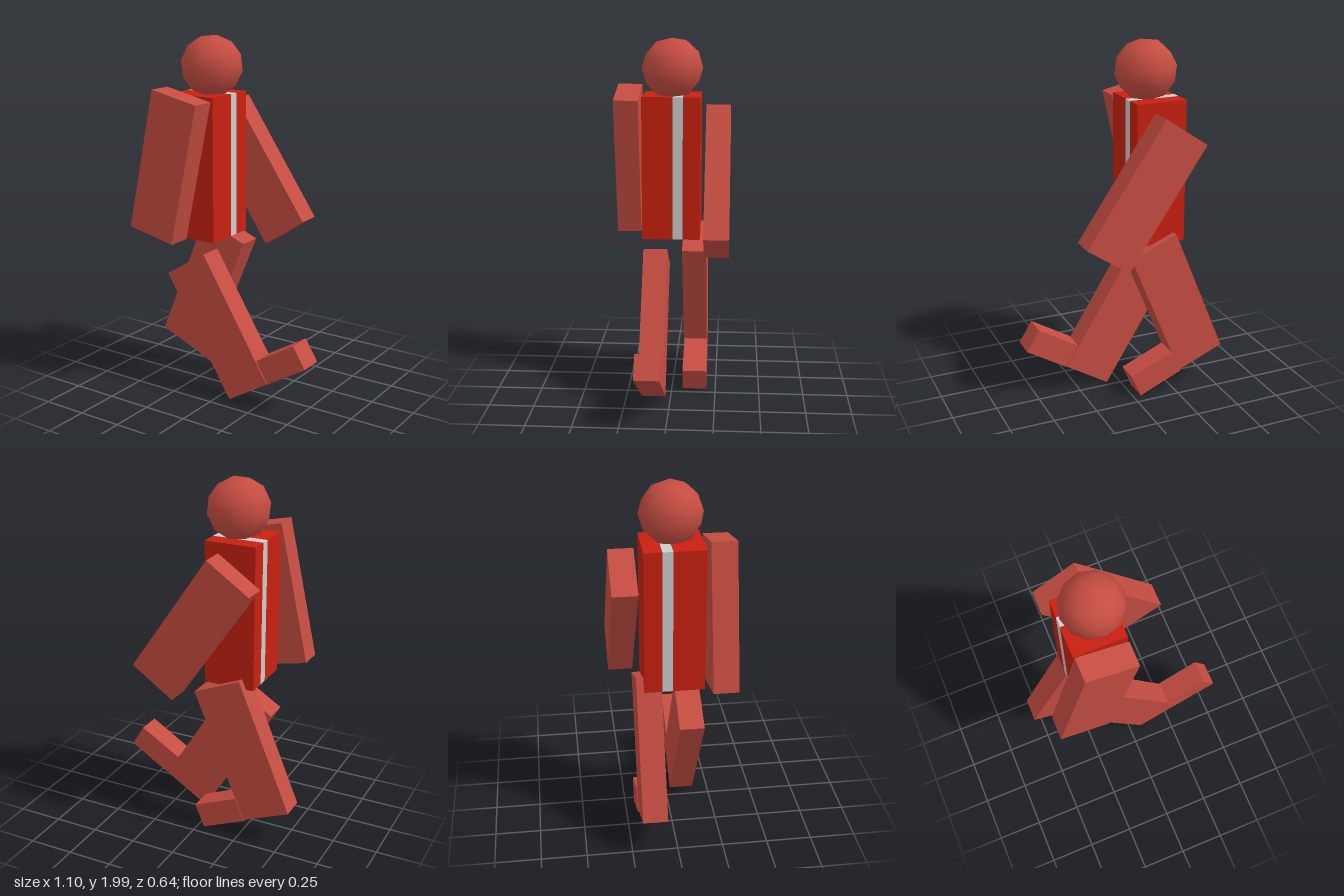
import * as THREE from 'three';

const skin = new THREE.MeshStandardMaterial({ color: 0xc64d42 });
const shirt = new THREE.MeshStandardMaterial({ color: 0xc82010 });
const grey = new THREE.MeshStandardMaterial({ color: 0xcccccc });

export function createModel() {
  const model = new THREE.Group();

  function addBox(name, size, position, tilt, material) {
    const mesh = new THREE.Mesh(new THREE.BoxGeometry(...size), material);
    mesh.name = name;
    mesh.position.set(...position);
    mesh.rotation.z = tilt;
    model.add(mesh);
  }

  // Torso: two red slabs with a grey stripe running between them
  const torsoSlices = [
    ['torsoNear', -0.005, 0.165, shirt],
    ['torsoStripe', -0.06, -0.005, grey],
    ['torsoFar', -0.155, -0.06, shirt],
  ];
  for (const [name, z0, z1, material] of torsoSlices) {
    addBox(name, [0.285, 0.79, z1 - z0], [-0.172, 1.295, (z0 + z1) / 2], 0, material);
  }

  // Arms and legs share one block size, swung about z in mid-stride
  const limb = [0.287, 0.786, 0.135];
  addBox('nearArm', limb, [-0.254, 1.316, 0.251], -0.215, skin);
  addBox('farArm', limb, [-0.017, 1.237, -0.252], 0.598, skin);
  addBox('nearLeg', limb, [-0.013, 0.415, 0.097], 0.555, skin);
  addBox('farLeg', limb, [-0.267, 0.538, -0.127], -0.392, skin);

  // Feet stand square to their legs
  const foot = [0.27, 0.14, 0.135];
  addBox('nearFoot', foot, [0.4, 0.288, 0.097], 0.55, skin);
  addBox('farFoot', foot, [-0.138, 0.127, -0.131], -0.4, skin);

  // Head: coarse ball with a pole along z
  const ball = new THREE.IcosahedronGeometry(0.168, 1);
  ball.rotateX(Math.atan(2 / (1 + Math.sqrt(5))));
  ball.rotateZ(0.12);
  const head = new THREE.Mesh(ball, skin);
  head.name = 'head';
  head.position.set(-0.147, 1.835, 0.003);
  model.add(head);

  return model;
}
